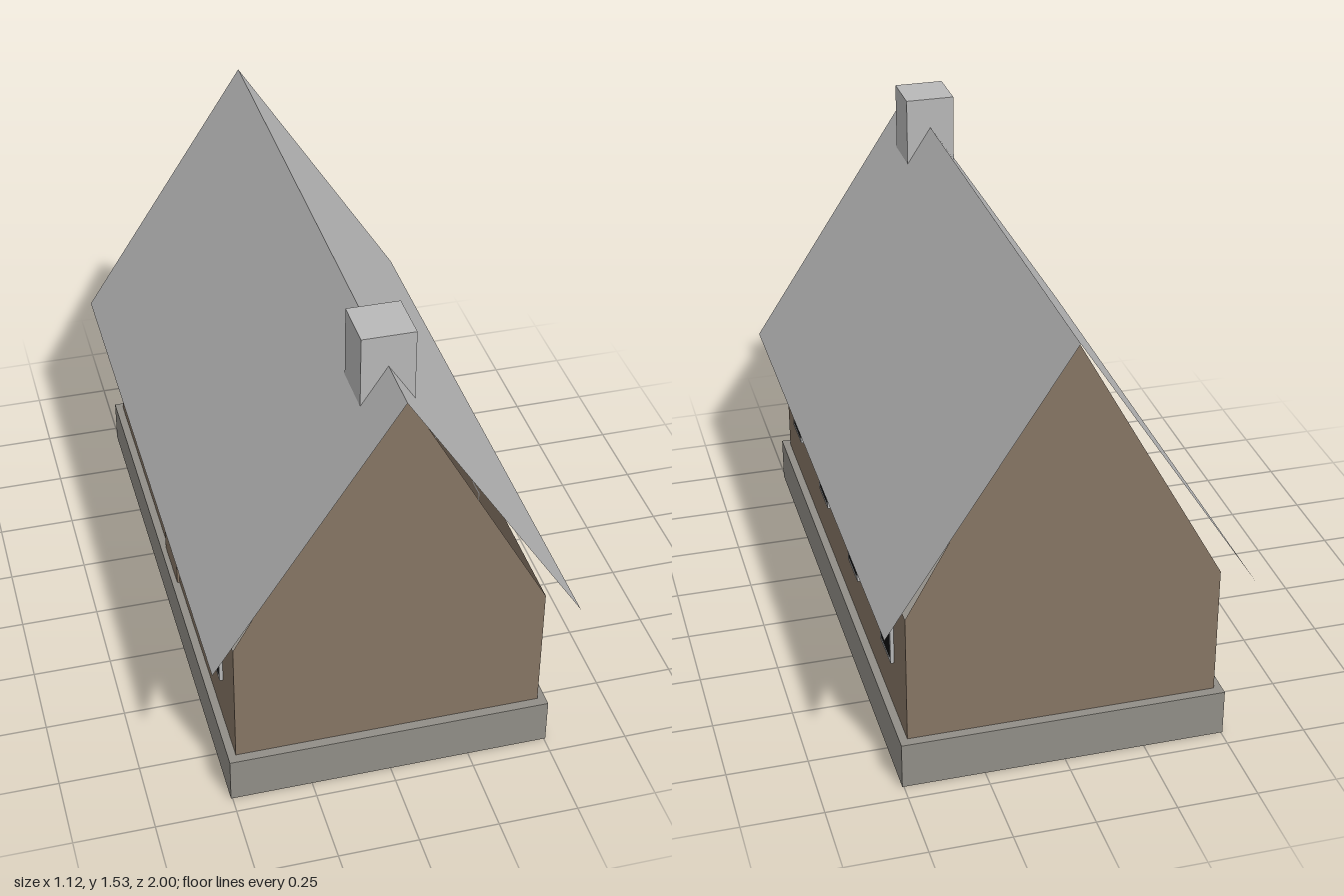
import * as THREE from 'three';

const mat = (name, color, side = THREE.FrontSide) => {
  const m = new THREE.MeshStandardMaterial({ color, side });
  m.name = name;
  return m;
};

export function createModel() {
  const house = new THREE.Group();
  house.name = 'house';

  const wallBrown = mat('wall brown', 0x867564, THREE.DoubleSide);
  const stoneGrey = mat('stone grey', 0x918e87);
  const lightGrey = mat('light grey', 0xb8b8b8, THREE.DoubleSide);
  const glassBlack = mat('glass black', 0x0d0d0d);

  const add = (name, geometry, material, x = 0, y = 0, z = 0, parent = house) => {
    const mesh = new THREE.Mesh(geometry, material);
    mesh.name = name;
    mesh.position.set(x, y, z);
    parent.add(mesh);
    return mesh;
  };

  // Main proportions
  const halfX = 0.48, halfZ = 0.915, floorY = 0.15, eaveY = 0.57, ridgeY = 1.43;
  const roofX = 0.56, roofLength = 2;

  // Foundation
  add('foundation', new THREE.BoxGeometry(1.01, floorY, 1.89), stoneGrey, 0, floorY / 2, 0);

  // Pointed end walls, steeper than the roof so the eaves stay open
  const gable = new THREE.Shape([
    new THREE.Vector2(-halfX, floorY),
    new THREE.Vector2(halfX, floorY),
    new THREE.Vector2(halfX, eaveY),
    new THREE.Vector2(0, ridgeY),
    new THREE.Vector2(-halfX, eaveY),
  ]);
  for (const s of [1, -1]) {
    const wall = add(s > 0 ? 'frontGable' : 'backGable', new THREE.ShapeGeometry(gable), wallBrown, 0, 0, s * halfZ);
    if (s < 0) wall.rotation.y = Math.PI;
  }

  // Window frame with an opening
  const rect = (w, h, Type) => new Type([
    new THREE.Vector2(-w / 2, -h / 2), new THREE.Vector2(w / 2, -h / 2),
    new THREE.Vector2(w / 2, h / 2), new THREE.Vector2(-w / 2, h / 2),
  ]);
  const frameShape = rect(0.14, 0.175, THREE.Shape);
  frameShape.holes.push(rect(0.116, 0.151, THREE.Path));
  const frameGeo = new THREE.ExtrudeGeometry(frameShape, { depth: 0.011, bevelEnabled: false });
  const glassGeo = new THREE.BoxGeometry(0.116, 0.151, 0.009);

  const slope = Math.hypot(roofX, ridgeY - eaveY);
  const pitch = Math.atan2(ridgeY - eaveY, roofX);

  for (const s of [1, -1]) {
    const side = s > 0 ? 'left' : 'right';

    // Long wall
    const wall = add(side + 'Wall', new THREE.PlaneGeometry(2 * halfZ, eaveY - floorY), wallBrown,
      s * halfX, (eaveY + floorY) / 2, 0);
    wall.rotation.y = s * Math.PI / 2;

    // Row of windows
    for (const z of [-0.69, -0.23, 0.23, 0.69]) {
      const win = new THREE.Group();
      win.name = side + 'Window';
      win.position.set(s * halfX, 0.403, z);
      win.rotation.y = s * Math.PI / 2;
      add('windowFrame', frameGeo, lightGrey, 0, 0, 0, win);
      add('windowGlass', glassGeo, glassBlack, 0, 0, 0.0055, win);
      house.add(win);
    }

    // Thin roof slope
    const roofGeo = new THREE.PlaneGeometry(slope, roofLength).rotateX(-Math.PI / 2);
    const roof = add(side + 'Roof', roofGeo, lightGrey, s * roofX / 2, (eaveY + ridgeY) / 2, 0);
    roof.rotation.z = -s * pitch;
  }

  // Door in the middle of the right wall
  add('door', new THREE.BoxGeometry(0.01, 0.34, 0.19), wallBrown, -halfX - 0.003, floorY + 0.17, 0);

  // Chimney running from the floor through the ridge
  add('chimney', new THREE.BoxGeometry(0.16, 1.38, 0.16), lightGrey, 0, floorY + 0.69, 0.74);

  return house;
}
